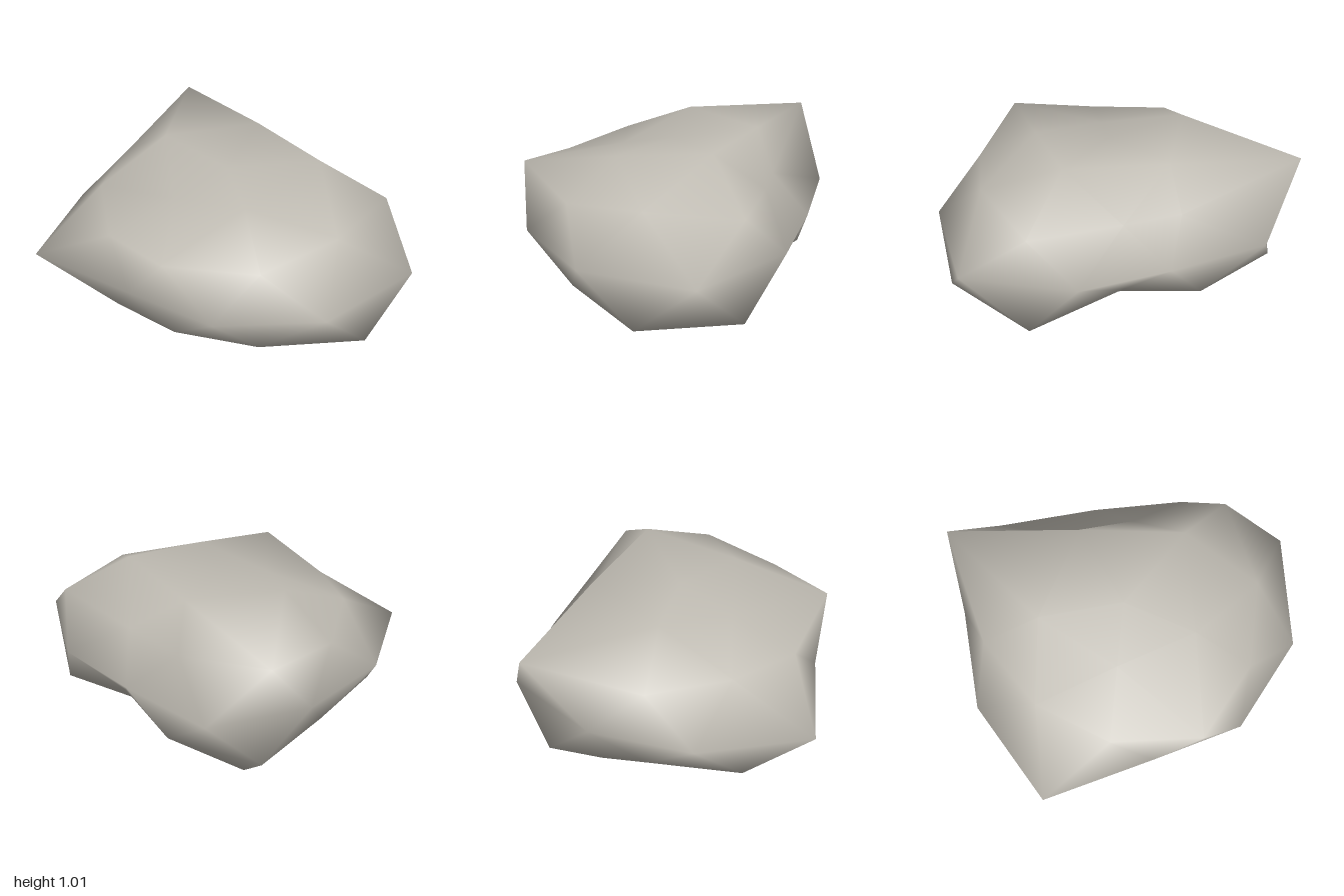
import * as THREE from 'three';

// Boulder: a once-subdivided icosphere whose layers are pushed in and out, then flattened.
const CENTRE = new THREE.Vector3(0, 0.55, 0.064);
const SQUASH = 0.585;

// Layers from top to bottom: start angle, angle step, unit heights (alternating), radii
const LAYERS = [
  { start: 0, step: 72, heights: [1], radii: [0.675] },
  { start: 0, step: 72, heights: [0.8507], radii: [0.935, 0.78, 0.62, 0.86, 0.875] },
  { start: 0, step: 36, heights: [0.4472, 0.5257], radii: [0.96, 0.873, 0.82, 0.955, 0.79, 0.81, 0.85, 1.216, 0.62, 0.66] },
  { start: 18, step: 36, heights: [0], radii: [1.052, 0.95, 0.85, 0.765, 1.052, 0.915, 0.89, 0.944, 0.745, 0.852] },
  { start: 0, step: 36, heights: [-0.5257, -0.4472], radii: [1.025, 1.063, 0.843, 0.78, 0.805, 0.955, 0.85, 1.016, 0.835, 0.67] },
  { start: 36, step: 72, heights: [-0.8507], radii: [0.845, 0.785, 0.8, 1.09, 0.73] },
  { start: 0, step: 72, heights: [-1], radii: [0.78] },
];

function boulderGeometry() {
  const positions = [];
  const firstIndex = [];
  for (const { start, step, heights, radii } of LAYERS) {
    firstIndex.push(positions.length / 3);
    radii.forEach((r, i) => {
      const angle = THREE.MathUtils.degToRad(start + step * i);
      const h = heights[i % heights.length];
      const flat = Math.sqrt(1 - h * h);
      positions.push(
        CENTRE.x + Math.cos(angle) * flat * r,
        CENTRE.y + h * SQUASH * r,
        CENTRE.z + Math.sin(angle) * flat * r
      );
    });
  }

  // Vertex number i of a layer, wrapping round
  const at = (layer, i) => {
    const n = LAYERS[layer].radii.length;
    return firstIndex[layer] + ((i % n) + n) % n;
  };
  const index = [];
  const tri = (a, b, c) => index.push(a, b, c);

  // Top and bottom caps
  for (let k = 0; k < 5; k++) {
    tri(at(0, 0), at(1, k + 1), at(1, k));
    tri(at(1, k), at(2, 2 * k), at(2, 2 * k - 1));
    tri(at(1, k), at(2, 2 * k + 1), at(2, 2 * k));
    tri(at(1, k), at(1, k + 1), at(2, 2 * k + 1));

    tri(at(6, 0), at(5, k), at(5, k + 1));
    tri(at(5, k), at(4, 2 * k), at(4, 2 * k + 1));
    tri(at(5, k), at(4, 2 * k + 1), at(4, 2 * k + 2));
    tri(at(5, k), at(4, 2 * k + 2), at(5, k + 1));
  }

  // Bands above and below the waist
  for (let j = 0; j < 10; j++) {
    tri(at(2, j), at(2, j + 1), at(3, j));
    tri(at(2, j + 1), at(3, j + 1), at(3, j));
    tri(at(4, j), at(3, j), at(4, j + 1));
    tri(at(4, j + 1), at(3, j), at(3, j + 1));
  }

  const geometry = new THREE.BufferGeometry();
  geometry.setAttribute('position', new THREE.Float32BufferAttribute(positions, 3));
  geometry.setIndex(index);
  geometry.computeVertexNormals();
  return geometry;
}

export function createModel() {
  const stone = new THREE.MeshStandardMaterial({ color: 0xc0bcb3 });
  stone.name = 'warm grey stone';

  const boulder = new THREE.Mesh(boulderGeometry(), stone);
  boulder.name = 'boulder';

  const group = new THREE.Group();
  group.name = 'rock';
  group.add(boulder);
  return group;
}
